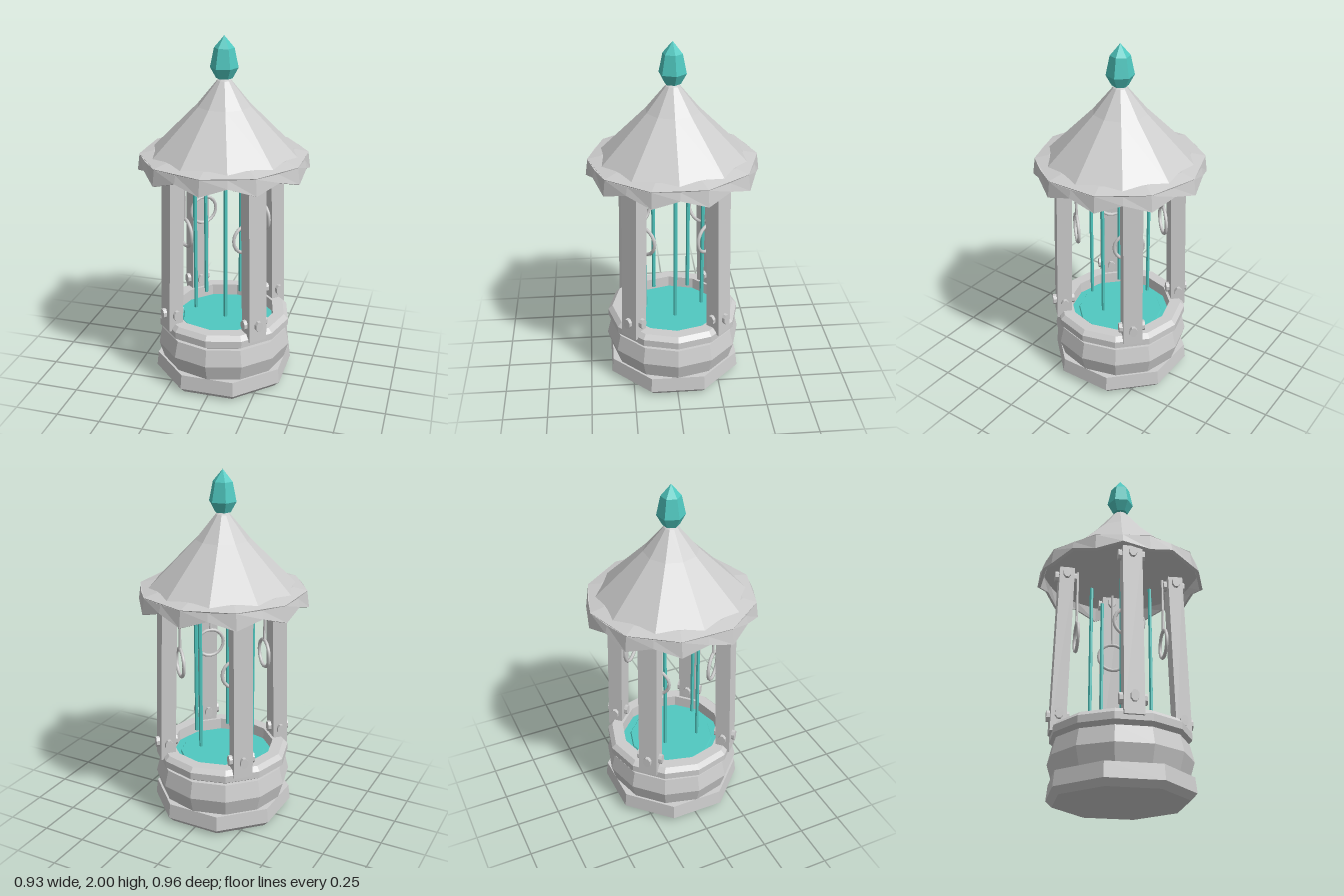
import * as THREE from 'three';

const stone = new THREE.MeshStandardMaterial({ color: 0xcccccc });
stone.name = 'pale stone grey';
const teal = new THREE.MeshStandardMaterial({ color: 0x50c8c0 });
teal.name = 'teal crystal';

// Faceted mesh: split the faces so every one is shaded flat
function faceted(name, geometry, material) {
  const flat = geometry.index ? geometry.toNonIndexed() : geometry;
  flat.computeVertexNormals();
  const mesh = new THREE.Mesh(flat, material);
  mesh.name = name;
  return mesh;
}

function latheGeometry(profile, sides, turn = 0) {
  const points = profile.map(([r, y]) => new THREE.Vector2(r, y));
  return new THREE.LatheGeometry(points, sides, turn);
}

function turned(name, profile, sides, material, turnDegrees = 0) {
  return faceted(name, latheGeometry(profile, sides, THREE.MathUtils.degToRad(turnDegrees)), material);
}

// Hanging skirt of the roof, pointed at every corner
function roofSkirt() {
  const profile = [[0.447, 1.345], [0.461, 1.257], [0.479, 1.262], [0.467, 1.352], [0.447, 1.345]];
  const geometry = latheGeometry(profile, 20);
  const p = geometry.attributes.position;
  for (let i = 0; i < p.count; i++) {
    const column = Math.floor(i / profile.length);
    if (column % 2 === 0) continue;
    const row = i % profile.length;
    const lift = row === 1 || row === 2 ? 0.045 : 0;
    p.setXYZ(i, p.getX(i) * 0.967, p.getY(i) + lift, p.getZ(i) * 0.967);
  }
  return faceted('roofSkirt', geometry, stone);
}

// Chamfered peg running through a post, along local z or x
function peg(length, y, z, across) {
  const geometry = new THREE.CylinderGeometry(0.032, 0.032, length, 8);
  geometry.rotateY(Math.PI / 8);
  geometry.rotateX(Math.PI / 2);
  geometry.scale(0.72, 1, 1);
  if (across) geometry.rotateY(Math.PI / 2);
  const mesh = faceted('peg', geometry, stone);
  mesh.position.set(0, y, z);
  return mesh;
}

// One corner: leaning post, pegs and hanging ring; local +z points outward
function corner(angle) {
  const group = new THREE.Group();
  group.name = 'cornerPost';
  const post = faceted('post', new THREE.BoxGeometry(0.108, 0.98, 0.085), stone);
  post.position.set(0, 0.85, 0.33);
  post.rotation.x = -0.028;
  group.add(post);
  for (const [y, z] of [[0.455, 0.341], [1.3, 0.318]]) {
    group.add(peg(0.125, y, z, false), peg(0.148, y, z, true));
  }

  const ring = new THREE.Mesh(new THREE.TorusGeometry(0.081, 0.01, 6, 20), stone);
  ring.name = 'hangingRing';
  ring.position.set(0, 0.93, 0.25);
  const cord = faceted('ringCord', new THREE.CylinderGeometry(0.008, 0.008, 0.33, 6), stone);
  cord.position.set(0, 1.18, 0.25);
  group.add(ring, cord);
  group.rotation.y = angle;
  return group;
}

export function createModel() {
  const model = new THREE.Group();
  model.name = 'wishingWell';

  // Base: octagonal plinth, bulging drum and hollow rim
  model.add(
    turned('plinth', [[0, 0], [0.37, 0], [0.405, 0.035], [0.395, 0.12], [0, 0.12]], 8, stone, 22.5),
    turned('drum', [[0, 0.115], [0.365, 0.12], [0.393, 0.215], [0.37, 0.31], [0, 0.31]], 12, stone),
    turned('rim', [[0.29, 0.3], [0.345, 0.31], [0.385, 0.335], [0.385, 0.375], [0.36, 0.4],
      [0.295, 0.4], [0.29, 0.3]], 12, stone),
  );

  // Water with a raised inner disc
  model.add(
    turned('water', [[0.292, 0.31], [0.292, 0.335], [0, 0.335]], 12, teal),
    turned('waterDisc', [[0.25, 0.335], [0.245, 0.343], [0, 0.343]], 12, teal),
  );

  // Four posts with rings
  for (let i = 0; i < 4; i++) model.add(corner(Math.PI / 4 + i * Math.PI / 2));

  // Five floating rods in a circle
  for (let i = 0; i < 5; i++) {
    const a = (i * Math.PI * 2) / 5;
    const rod = faceted('rod', new THREE.CylinderGeometry(0.011, 0.011, 0.8, 6), teal);
    rod.position.set(0.174 * Math.cos(a), 0.83, 0.174 * Math.sin(a));
    model.add(rod);
  }

  // Roof: eave plate, skirt, ten-sided cone and crystal finial
  model.add(
    turned('eavePlate', [[0, 1.34], [0.46, 1.34], [0.468, 1.355], [0.39, 1.372], [0, 1.372]], 10, stone),
    roofSkirt(),
    turned('roof', [[0.418, 1.355], [0.15, 1.625], [0.04, 1.76], [0, 1.785]], 10, stone, 18),
    turned('finial', [[0, 1.77], [0.045, 1.772], [0.077, 1.83], [0.055, 1.935], [0, 2]], 6, teal, 40),
  );

  return model;
}
